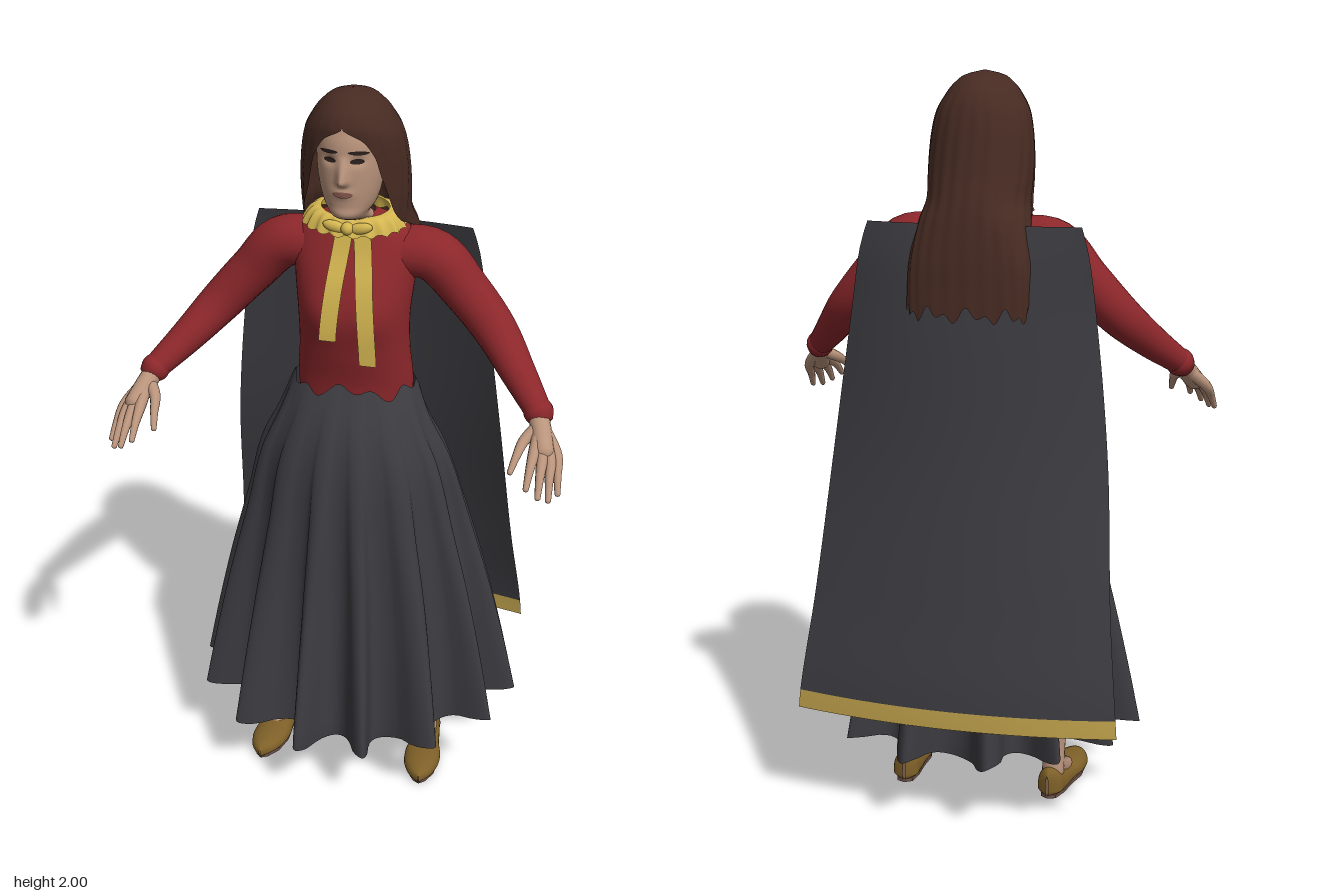
import * as THREE from 'three';
import { mergeVertices } from 'three/addons/utils/BufferGeometryUtils.js';

const { sin, cos, exp, abs, sign, min, max, PI } = Math;

const paint = (name, color, twoSided) => {
  const m = new THREE.MeshStandardMaterial({ color });
  m.name = name;
  if (twoSided) m.side = THREE.DoubleSide;
  return m;
};

// Smooth interpolation of rows [key, a, b, ...] with ascending keys
function profile(rows) {
  const n = rows[0].length - 1;
  const curve = new THREE.CubicInterpolant(
    rows.map(r => r[0]), new Float32Array(rows.flatMap(r => r.slice(1))), n);
  const lo = rows[0][0], hi = rows[rows.length - 1][0];
  return k => [...curve.evaluate(min(max(k, lo), hi))];
}

// Smooth surface from f(u, v) -> [x, y, z], with u and v from 0 to 1
function surface(nu, nv, f) {
  const pos = [], index = [];
  for (let j = 0; j <= nv; j++) for (let i = 0; i <= nu; i++) pos.push(...f(i / nu, j / nv));
  for (let j = 0; j < nv; j++) for (let i = 0; i < nu; i++) {
    const a = j * (nu + 1) + i, b = a + 1, c = a + nu + 1, d = c + 1;
    index.push(a, b, d, a, d, c);
  }
  let g = new THREE.BufferGeometry();
  g.setAttribute('position', new THREE.Float32BufferAttribute(pos, 3));
  g.setIndex(index);
  g = mergeVertices(g, 1e-5);
  g.computeVertexNormals();
  return g;
}

// Round limb through points [x, y, z, radius], closed at both ends
function limb(pts, sides = 20, steps = 30) {
  const path = new THREE.CatmullRomCurve3(pts.map(p => new THREE.Vector3(p[0], p[1], p[2])));
  const radius = profile(pts.map((p, i) => [i / (pts.length - 1), p[3]]));
  const frames = path.computeFrenetFrames(steps);
  return surface(sides, steps + 4, (u, v) => {
    const j = Math.round(v * (steps + 4)) - 2, k = min(max(j, 0), steps);
    const over = j < 0 ? -j : max(j - steps, 0);
    const r = radius(k / steps)[0], a = u * 2 * PI;
    const ring = r * [1, 0.75, 0.001][over], push = sign(j) * r * [0, 0.5, 0.8][over];
    const p = path.getPoint(k / steps)
      .addScaledVector(frames.normals[k], cos(a) * ring)
      .addScaledVector(frames.binormals[k], sin(a) * ring)
      .addScaledVector(frames.tangents[k], push);
    return [p.x, p.y, p.z];
  });
}

export function createModel() {
  const root = new THREE.Group();
  root.name = 'womanWithCape';
  const skin = paint('skin', 0xba947c), hairBrown = paint('hairBrown', 0x472b22, true);
  const red = paint('redJersey', 0x8c272b), charcoal = paint('charcoalCloth', 0x3b3b40, true);
  const gold = paint('goldRibbon', 0xd3b550, true), trimGold = paint('trimGold', 0xc0a24c, true);
  const tan = paint('shoeTan', 0x7e6028), soleBrown = paint('soleBrown', 0x6b5146);
  const lipRose = paint('lipRose', 0x8a5a50), dark = paint('eyeDark', 0x2b201d);
  const add = (name, geo, mat, parent = root) => {
    const m = new THREE.Mesh(geo, mat);
    m.name = name;
    parent.add(m);
    return m;
  };

  // Head and neck: y, half width, centre z, depth
  const skull = profile([[1.58, .052, -.01, .05], [1.66, .052, .005, .05], [1.69, .048, .056, .068],
    [1.72, .066, .05, .078], [1.78, .082, .045, .087], [1.85, .088, .04, .091], [1.9, .088, .03, .094],
    [1.95, .07, .02, .078], [1.98, .02, .02, .02]]);
  const gauss = (d, w) => exp(-((d / w) ** 2));
  const relief = (x, y) => {
    const nose = y > 1.79 ? max(0, 1 - (y - 1.79) / .065) : max(0, 1 - (1.79 - y) / .016);
    return .031 * gauss(x, .013) * nose
      - .008 * gauss(abs(x) - .035, .018) * gauss(y - 1.842, .012)
      + .006 * gauss(x, .025) * gauss(y - 1.757, .013);
  };
  add('head', surface(96, 70, (u, v) => {
    const y = 1.58 + .4 * v, [w, zc, d] = skull(y), a = u * 2 * PI, x = w * sin(a);
    return [x, y, zc + d * cos(a) + (cos(a) > 0 ? relief(x, y) : 0)];
  }), skin);

  // Thin painted patches that follow the face
  const patch = (name, cx, cy, w, h, tilt, mat) => {
    const g = new THREE.CircleGeometry(1, 20).scale(w, h, 1).rotateZ(tilt).translate(cx, cy, 0);
    const p = g.attributes.position;
    for (let i = 0; i < p.count; i++) {
      const x = p.getX(i), y = p.getY(i), [hw, zc, d] = skull(y);
      p.setZ(i, zc + d * Math.sqrt(max(0, 1 - (x / hw) ** 2)) + relief(x, y) + .003);
    }
    g.computeVertexNormals();
    add(name, g, mat);
  };
  for (const s of [1, -1]) {
    patch('eye', s * .035, 1.842, .017, .007, 0, dark);
    patch('eyebrow', s * .038, 1.864, .025, .005, -s * .06, dark);
  }
  patch('mouth', 0, 1.757, .026, .008, 0, lipRose);

  // Hair open around the face: y, half width, centre z, depth, sweep, squareness
  const mane = profile([[1.38, .166, -.13, .056, 1.45, .5], [1.44, .166, -.125, .058, 1.45, .5],
    [1.52, .163, -.11, .07, 1.5, .55], [1.62, .148, -.065, .105, 1.65, .7], [1.67, .138, -.025, .135, 2.0, .8],
    [1.73, .14, -.01, .134, 2.25, .9], [1.8, .139, 0, .13, 2.43, 1], [1.86, .132, .008, .126, 2.56, 1],
    [1.9, .122, .015, .122, 2.78, 1], [1.925, .109, .02, .117, PI, 1], [1.97, .075, .025, .085, PI, 1],
    [1.99, .045, .027, .052, PI, 1], [2, .002, .028, .003, PI, 1]]);
  add('hair', surface(90, 80, (u, v) => {
    const y = 1.38 + .62 * v, [w, zc, d, sweep, sq] = mane(y), t = (2 * u - 1) * min(sweep, PI);
    const k = 1 + .01 * sin(t * 21 + sin(y * 9)) * min(1, 9 * (2 - y)), c = cos(t);
    const ragged = (1 - v) ** 12 * .012 * (sin(u * 27) + sin(u * 53));
    return [-w * k * sin(t), y + ragged, zc - d * k * sign(c) * abs(c) ** sq];
  }), hairBrown);

  // Jersey: y, half width, front z, back z
  const trunk = profile([[1.1, .15, .08, -.085], [1.2, .158, .085, -.09], [1.3, .15, .108, -.09],
    [1.4, .15, .126, -.095], [1.5, .16, .108, -.098], [1.58, .165, .075, -.095], [1.62, .15, .058, -.088],
    [1.65, .11, .045, -.075], [1.67, .05, .03, -.05]]);
  add('jerseyBody', surface(56, 44, (u, v) => {
    const y = 1.1 + .57 * v, [w, f, b] = trunk(y), a = u * 2 * PI, c = cos(a), x = w * sin(a);
    const bust = c > 0 ? .012 * gauss(abs(x) - .07, .05) * gauss(y - 1.42, .06) : 0;
    return [x, y, (f + b) / 2 + c * (f - b) / 2 + bust];
  }), red);

  // Arms and hands
  const tips = [[.474, 1.12, .295], [.522, 1.1, .335], [.553, 1.08, .337], [.578, 1.068, .322], [.597, 1.072, .29]];
  const knuckles = [[.496, 1.175, .215], [.526, 1.157, .25], [.548, 1.146, .254], [.568, 1.14, .244], [.582, 1.143, .222]];
  for (const s of [1, -1]) {
    const side = s > 0 ? 'left' : 'right';
    const flip = pts => pts.map(([x, ...rest]) => [s * x, ...rest]);
    add(side + 'Sleeve', limb(flip([[.09, 1.56, -.018, .066], [.2, 1.553, -.026, .07], [.29, 1.463, -.026, .063],
      [.375, 1.37, -.002, .057], [.45, 1.29, .068, .046], [.522, 1.22, .148, .034]])), red);
    add(side + 'Cuff', limb(flip([[.512, 1.23, .136, .037], [.518, 1.223, .143, .039], [.524, 1.216, .15, .037]]), 20, 6), red);
    const hand = new THREE.Group();
    hand.name = side + 'Hand';
    root.add(hand);
    add('palm', limb(flip([[.515, 1.225, .14, .026], [.531, 1.195, .18, .027], [.549, 1.155, .232, .027]]), 16, 12), skin, hand);
    tips.forEach((tip, i) => {
      const kn = knuckles[i], mid = kn.map((c, j) => c * .45 + tip[j] * .55 + (j === 1 ? .006 : 0));
      add(i ? 'finger' : 'thumb', limb(flip([[.53, 1.2, .17, .019], [...kn, .015], [...mid, .011], [...tip, .0075]]), 10, 14), skin, hand);
    });
  }

  // Deeply pleated skirt: y, half width, centre z, depth
  const bell = profile([[.2, .462, .004, .362], [.4, .42, 0, .325], [.6, .372, 0, .282], [.8, .316, .005, .24],
    [1, .26, .022, .18], [1.1, .21, .022, .143], [1.21, .165, 0, .1]]);
  add('skirt', surface(280, 44, (u, v) => {
    const a = u * 2 * PI, drop = 1 - v;
    const y = .205 + .99 * v + drop ** 6 * (.03 * sin(a) ** 2 - .018 * cos(a) ** 2 + .008 * sin(13 * a))
      + v ** 10 * .01 * (sin(5 * a + 1.5) + sin(11 * a + PI));
    const [w, zc, d] = bell(y);
    const wave = sin(14 * a - PI / 2 + .5 * sin(3 * a) + .3 * sin(5 * a));
    const fold = sign(wave) * abs(wave) ** .6;
    const k = 1 + .14 * drop ** .9 * (fold - .85);
    const twist = a + .04 * drop * sin(14 * a);
    return [.012 * drop + w * k * sin(twist), y, zc + d * k * cos(twist)];
  }), charcoal);

  // Cape with gold hem: y, half width, edge z, centre z
  const cloak = profile([[.295, .442, -.297, -.346], [.345, .438, -.294, -.345], [.6, .41, -.238, -.298],
    [1, .378, -.145, -.222], [1.37, .335, -.105, -.168], [1.55, .308, -.1, -.135], [1.61, .29, -.095, -.118]]);
  const drape = (y0, y1, rows) => surface(40, rows, (u, v) => {
    const y = y0 + (y1 - y0) * v, s = 1 - 2 * u, [w, edge, mid] = cloak(y);
    return [w * s, y, mid + (edge - mid) * s * s];
  });
  add('cape', drape(.345, 1.61, 36), charcoal);
  add('capeHem', drape(.295, .345, 2), trimGold);

  // Ruffled collar, bow and ribbon tails
  add('collar', surface(140, 8, (u, v) => {
    const a = u * 2 * PI, k = .085 + .045 * v ** .7 + .005 * v * sin(19 * a);
    return [k * 1.05 * sin(a), 1.682 - .042 * v * v + .004 * v * cos(19 * a) - .01 * cos(a), .002 + k * .72 * cos(a)];
  }), gold);
  for (const s of [1, -1]) {
    const loop = add('bowLoop', new THREE.SphereGeometry(1, 20, 12), gold);
    loop.scale.set(.032, .015, .012);
    loop.position.set(s * .034, 1.652, .084);
    loop.rotation.z = s * .2;
  }
  add('bowKnot', new THREE.SphereGeometry(.017, 16, 12), gold).position.set(0, 1.65, .088);
  const fall = profile([[1.3, .152], [1.4, .149], [1.5, .129], [1.58, .098], [1.65, .08]]);
  const ribbon = (name, x0, x1, yEnd) => add(name, surface(4, 20, (u, v) => {
    const y = yEnd + (1.65 - yEnd) * v;
    return [x1 + (x0 - x1) * v ** 1.3 + (u - .5) * .046, y, fall(y)[0]];
  }), gold);
  ribbon('rightRibbon', -.008, -.038, 1.36);
  ribbon('leftRibbon', .036, .07, 1.3);

  // Legs, feet and slip-on shoes: z, half width, height
  const last = [[-.085, .004, .045], [-.075, .025, .06], [-.03, .037, .054], [.04, .042, .036],
    [.1, .052, .034], [.16, .044, .03], [.2, .02, .02], [.212, .002, .01]];
  const shoeForm = profile(last);
  const outline = new THREE.Shape([...last.map(([z, w]) => new THREE.Vector2(w * .88, z * .96)),
    ...last.map(([z, w]) => new THREE.Vector2(-w * .88, z * .96)).reverse()]);
  for (const s of [1, -1]) {
    const leg = new THREE.Group();
    leg.name = s > 0 ? 'leftLeg' : 'rightLeg';
    leg.position.x = s * .218;
    leg.rotation.y = s * .1;
    root.add(leg);
    add('shin', limb([[0, .5, -.015, .05], [0, .3, -.02, .042], [0, .15, -.022, .032], [0, .06, -.03, .031]]), skin, leg);
    add('foot', limb([[0, .115, -.024, .024], [0, .07, .008, .031], [0, .043, .06, .028], [0, .028, .1, .022]], 18, 16), skin, leg);
    add('shoe', surface(32, 30, (u, v) => {
      const z = -.085 + .297 * v, [w, h] = shoeForm(z), c = cos(u * 2 * PI);
      return [-w * sin(u * 2 * PI), .022 + (c > 0 ? h * c ** .8 : .014 * c), z];
    }), tan, leg);
    const sole = new THREE.ExtrudeGeometry(outline, { depth: .01, bevelEnabled: false });
    add('sole', sole.rotateX(PI / 2).translate(0, .01, 0), soleBrown, leg);
  }
  return root;
}
